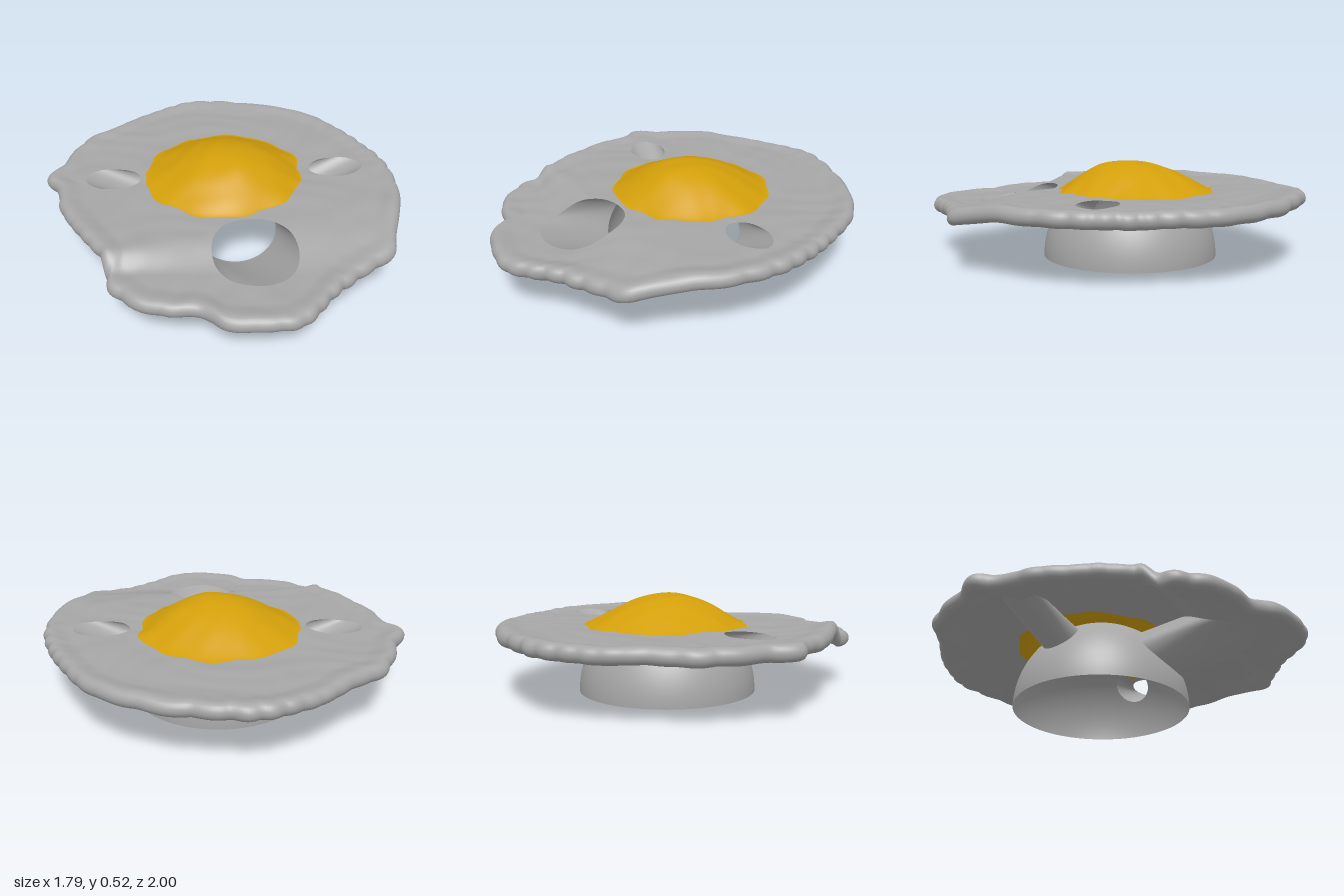
import * as THREE from 'three';

const COLS = 320;
const DOME = { z: -0.09, r: 0.475 };
const YOLK = { z: -0.12, r: 0.428 };
const WHITE_COLOR = 0xa6a6a6, YOLK_COLOR = 0xd39f0a;

// Outline of the egg white, as x, z
const OUTLINE = [
  [0.89, 0], [0.86, 0.25], [0.77, 0.45], [0.66, 0.6], [0.5, 0.75], [0.41, 0.85], [0.2, 0.88], [0, 0.92],
  [-0.25, 1], [-0.43, 0.93], [-0.56, 0.83], [-0.62, 0.7], [-0.76, 0.62], [-0.86, 0.48], [-0.9, 0.35],
  [-0.865, 0.2], [-0.885, 0], [-0.89, -0.3], [-0.845, -0.45], [-0.86, -0.58], [-0.71, -0.71], [-0.61, -0.81],
  [-0.48, -0.9], [-0.3, -0.93], [-0.1, -0.985], [0, -1], [0.25, -1], [0.39, -0.93], [0.54, -0.82],
  [0.64, -0.73], [0.76, -0.58], [0.85, -0.4], [0.88, -0.2],
];

// Each opening: an ellipse in the white (c, u, a, b) joined to one in the dome (dir, y, rs, ry)
const unit = (x, z) => [x / Math.hypot(x, z), z / Math.hypot(x, z)];
const OPENINGS = [
  { name: 'frontTube', c: [-0.2, 0.52], u: [0, 1], a: 0.22, b: 0.21, dir: unit(-0.38, 0.92), y: 0.24, rs: 0.21, ry: 0.12 },
  { name: 'leftTube', c: [0.57, 0.15], u: unit(0.9, 0.4), a: 0.15, b: 0.1, dir: unit(0.925, 0.38), y: 0.285, rs: 0.1, ry: 0.08 },
  { name: 'rightTube', c: [-0.55, -0.38], u: unit(-0.84, -0.54), a: 0.15, b: 0.1, dir: unit(-0.885, -0.47), y: 0.285, rs: 0.1, ry: 0.08 },
];

// Irregular ripples, between about -1 and 1
const ripple = (x, z) =>
  0.6 * Math.sin(9 * x + 2 * Math.sin(5 * z)) * Math.sin(10 * z + 2 * Math.sin(4 * x + 1)) +
  0.4 * Math.sin(19 * x + 3 * Math.sin(7 * z + 2)) * Math.sin(21 * z + 2 * Math.sin(9 * x));

// Height of the white: the front lobe droops, with a crease at the right and a slow slope at the left
function height(x, z) {
  const end = Math.max(0.48, 0.8 + 0.35 * x);
  const droop = 0.07 * THREE.MathUtils.smoothstep(z - 0.25 * x, 0.4, end);
  return 0.362 - droop + 0.006 * ripple(x, z);
}

const yolkRadius = (a) => YOLK.r + 0.008 * Math.sin(11 * a) + 0.006 * Math.sin(6 * a + 1) + 0.006 * Math.cos(2 * a);

// Grid surface closed around its columns; cells wholly inside an opening are left out
function gridSurface(name, rows, cols, color, point) {
  const pos = [], inside = [], index = [];
  for (let r = 0; r <= rows; r++) {
    for (let c = 0; c < cols; c++) {
      const p = point(r / rows, c / cols, r, c);
      pos.push(p[0], p[1], p[2]);
      inside.push(!!p[3]);
    }
  }
  const tri = (...t) => { if (!t.every((i) => inside[i])) index.push(...t); };
  for (let r = 0; r < rows; r++) {
    for (let c = 0; c < cols; c++) {
      const a = r * cols + c, b = r * cols + (c + 1) % cols;
      tri(a, b, a + cols);
      tri(b, b + cols, a + cols);
    }
  }
  const geo = new THREE.BufferGeometry();
  geo.setAttribute('position', new THREE.Float32BufferAttribute(pos, 3));
  geo.setIndex(index);
  geo.computeVertexNormals();
  const mesh = new THREE.Mesh(geo, new THREE.MeshStandardMaterial({ color, side: THREE.DoubleSide }));
  mesh.name = name;
  return mesh;
}

// Moves a point lying inside an ellipse out to its edge
function snap(s, t, a, b) {
  const rho = Math.hypot(s / a, t / b);
  if (rho >= 1) return null;
  return rho < 1e-6 ? [a, 0] : [s / rho, t / rho];
}

// Point of the dome at sideways offset s and height y, facing an opening
function domePoint(o, s, y) {
  const n = Math.sqrt(Math.max(0, DOME.r ** 2 - s * s - y * y));
  const [dx, dz] = o.dir;
  return [dx * n - dz * s, y, DOME.z + dz * n + dx * s];
}

function makeWhite() {
  const curve = new THREE.CatmullRomCurve3(OUTLINE.map(([x, z]) => new THREE.Vector3(x, 0, z)), true);
  const edge = curve.getSpacedPoints(COLS).slice(0, COLS).map((p, i) => {
    const t = (i / COLS) * Math.PI * 2;
    // uneven scallops round the rim
    const depth = 0.011 + 0.007 * Math.sin(5 * t + 1);
    const k = 1 - depth * (1 - Math.abs(Math.sin(21 * t + 2.5 * Math.sin(4 * t))));
    return [p.x * k, p.z * k];
  });
  const FLAT = 60, ROLL = 12, R = 0.042;
  return gridSurface('eggWhite', FLAT + ROLL + 2, COLS, WHITE_COLOR, (v, w, r, c) => {
    const [ex, ez] = edge[c];
    const ang = Math.atan2(ez - YOLK.z, ex);
    const rim = Math.hypot(ex, ez - YOLK.z), inner = yolkRadius(ang);
    let rad, dy = 0;
    if (r <= FLAT) {
      rad = inner + (rim - R - inner) * (r / FLAT);
      dy = 0.012 * THREE.MathUtils.smoothstep(rad, rim - 0.13, rim - R);
    } else if (r <= FLAT + ROLL) {
      const t = ((r - FLAT) / ROLL) * Math.PI;
      rad = rim - R + R * Math.sin(t);
      dy = 0.012 - R + R * Math.cos(t);
    } else {
      // underside lip with an uneven edge
      const k = r - FLAT - ROLL;
      rad = rim - R - k * (0.055 + 0.008 * Math.sin(13 * ang) + 0.004 * Math.sin(31 * ang));
      dy = 0.012 - 2 * R + 0.012 * k;
    }
    let x = rad * Math.cos(ang), z = YOLK.z + rad * Math.sin(ang), hit = false;
    if (r <= FLAT) {
      for (const { c: [cx, cz], u: [ux, uz], a, b } of OPENINGS) {
        const q = snap((x - cx) * ux + (z - cz) * uz, -(x - cx) * uz + (z - cz) * ux, a, b);
        if (!q) continue;
        x = cx + ux * q[0] - uz * q[1];
        z = cz + uz * q[0] + ux * q[1];
        hit = true;
      }
    }
    return [x, height(x, z) + dy, z, hit];
  });
}

// Yolk: a soft mound whose peak leans to the front, its edge tucked just under the white
function makeYolk() {
  return gridSurface('yolk', 50, 200, YOLK_COLOR, (v, w) => {
    const a = w * Math.PI * 2, t = v * 1.02;
    const rad = t * (YOLK.r + (yolkRadius(a) - YOLK.r) * t ** 4);
    const x = rad * Math.cos(a), z = YOLK.z + 0.07 * (1 - v) + rad * Math.sin(a);
    const rise = Math.max(0, 1 - t * t) ** 1.3;
    return [x, height(x, z) - 0.002 + 0.158 * rise, z];
  });
}

// Hollow half ball underneath, pierced by the three tubes
function makeDome() {
  return gridSurface('domeBase', 60, 200, WHITE_COLOR, (v, w) => {
    const a = w * Math.PI * 2, e = v * Math.PI / 2;
    const x = DOME.r * Math.sin(e) * Math.cos(a), y = DOME.r * Math.cos(e), dz = DOME.r * Math.sin(e) * Math.sin(a);
    for (const o of OPENINGS) {
      if (x * o.dir[0] + dz * o.dir[1] <= 0) continue;
      const q = snap(-x * o.dir[1] + dz * o.dir[0], y - o.y, o.rs, o.ry);
      if (q) return [...domePoint(o, q[0], o.y + q[1]), true];
    }
    return [x, y, DOME.z + dz, false];
  });
}

// Sloping tube from an opening in the white down to the dome
function makeTube(o) {
  return gridSurface(o.name, 12, 160, WHITE_COLOR, (v, w) => {
    const f = w * Math.PI * 2, p = o.a * Math.cos(f), q = o.b * Math.sin(f);
    const x = o.c[0] + o.u[0] * p - o.u[1] * q, z = o.c[1] + o.u[1] * p + o.u[0] * q;
    const top = [x, height(x, z), z];
    const low = domePoint(o, o.rs * Math.sin(f), o.y - o.ry * Math.cos(f));
    return top.map((t, i) => low[i] + (t - low[i]) * v);
  });
}

export function createModel() {
  const group = new THREE.Group();
  group.name = 'friedEggStand';
  group.add(makeWhite(), makeYolk(), makeDome(), ...OPENINGS.map(makeTube));
  return group;
}
